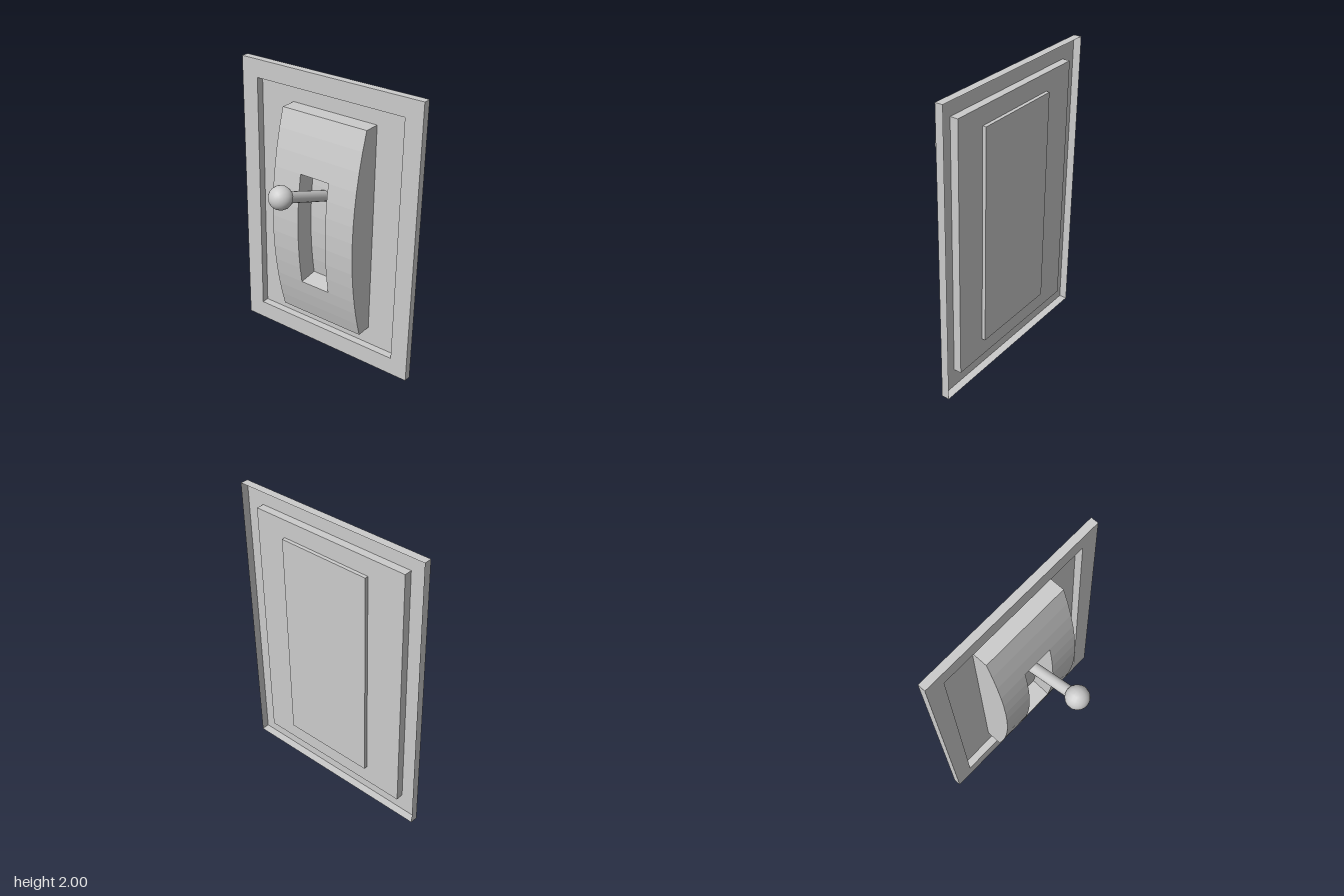
import * as THREE from 'three';

const open = new THREE.MeshStandardMaterial({ color: 0xcccccc, side: THREE.DoubleSide, flatShading: true });
const smooth = new THREE.MeshStandardMaterial({ color: 0xcccccc });
const V = (x, y, z) => new THREE.Vector3(x, y, z);

// Quad strip between two polylines of equal length
function loft(name, a, b) {
  const pts = [];
  for (let i = 0; i < a.length - 1; i++) pts.push(a[i], b[i], b[i + 1], a[i], b[i + 1], a[i + 1]);
  const geo = new THREE.BufferGeometry().setFromPoints(pts);
  geo.computeVertexNormals();
  const mesh = new THREE.Mesh(geo, open);
  mesh.name = name;
  return mesh;
}

// Closed rectangular loop at depth z
const loop = (x, y0, y1, z) => [V(-x, y0, z), V(x, y0, z), V(x, y1, z), V(-x, y1, z), V(-x, y0, z)];

function range(from, to, n) {
  return Array.from({ length: n + 1 }, (_, i) => from + ((to - from) * i) / n);
}

// Wall plate: open-backed rim with a recessed pan
function wallPlate() {
  const g = new THREE.Group();
  g.name = 'wallPlate';
  const front = -0.24, back = -0.293;
  const outer = z => loop(0.69, 0, 2, z), inner = z => loop(0.565, 0.13, 1.876, z);
  const pan = inner(back);
  g.add(
    loft('frameFace', outer(front), inner(front)),
    loft('frameRim', outer(back), outer(front)),
    loft('recessWalls', inner(front), inner(back)),
    loft('recessFloor', [pan[0], pan[3]], [pan[1], pan[2]])
  );
  return g;
}

// Bowed housing with a slot that follows the curve
function housing() {
  const g = new THREE.Group();
  g.name = 'housing';
  const x0 = -0.306, x1 = 0.341, s0 = -0.094, s1 = 0.127;
  const yLow = 0.26, yHigh = 1.755, slotLow = 0.556, slotHigh = 1.373, back = -0.317, depth = 0.14;
  const mid = (yLow + yHigh) / 2, half = (yHigh - yLow) / 2;
  const bow = y => -0.065 - 0.117 * ((y - mid) / half) ** 2;
  const line = (x, ys, sink = 0) => ys.map(y => V(x, y, bow(y) - sink));

  const low = range(yLow, slotLow, 3), centre = range(slotLow, slotHigh, 7), high = range(slotHigh, yHigh, 3);
  const all = [...low, ...centre.slice(1), ...high.slice(1)];
  const floor = range(0.572, slotHigh, 7);

  // Curved front around the slot
  g.add(
    loft('frontRight', line(x0, all), line(s0, all)),
    loft('frontLeft', line(s1, all), line(x1, all)),
    loft('frontBelowSlot', line(s0, low), line(s1, low)),
    loft('frontAboveSlot', line(s0, high), line(s1, high))
  );

  // Slot floor, sides and ends
  g.add(
    loft('slotFloor', line(s0, floor, depth), line(s1, floor, depth)),
    loft('slotSideRight', line(s0, centre), line(s0, floor, depth)),
    loft('slotSideLeft', line(s1, floor, depth), line(s1, centre))
  );
  for (const [name, i] of [['slotBottom', 0], ['slotTop', 7]]) {
    const end = x => [line(x, centre)[i], line(x, floor, depth)[i]];
    g.add(i ? loft(name, end(s0), end(s1)) : loft(name, end(s1), end(s0)));
  }

  // Sides, ends and back
  const flat = x => all.map(y => V(x, y, back));
  g.add(
    loft('sideRight', flat(x0), line(x0, all)),
    loft('sideLeft', line(x1, all), flat(x1)),
    loft('bottomEnd', [V(x0, yLow, back), V(x0, yLow, bow(yLow))], [V(x1, yLow, back), V(x1, yLow, bow(yLow))]),
    loft('topEnd', [V(x1, yHigh, back), V(x1, yHigh, bow(yHigh))], [V(x0, yHigh, back), V(x0, yHigh, bow(yHigh))]),
    loft('back', [V(x1, yLow, back), V(x1, yHigh, back)], [V(x0, yLow, back), V(x0, yHigh, back)])
  );
  return g;
}

// Lever rod with a ball knob
function lever() {
  const g = new THREE.Group();
  g.name = 'lever';
  const tip = V(0.012, 1.37, 0.238), root = V(0.012, 1.2, -0.225);
  const dir = tip.clone().sub(root);
  const rod = new THREE.Mesh(new THREE.CylinderGeometry(0.037, 0.037, dir.length(), 16), smooth);
  rod.name = 'rod';
  rod.position.copy(tip).add(root).multiplyScalar(0.5);
  rod.quaternion.setFromUnitVectors(V(0, 1, 0), dir.normalize());
  const knob = new THREE.Mesh(new THREE.SphereGeometry(0.078, 16, 12), smooth);
  knob.name = 'knob';
  knob.position.copy(tip);
  knob.quaternion.copy(rod.quaternion);
  g.add(rod, knob);
  return g;
}

export function createModel() {
  const model = new THREE.Group();
  model.name = 'leverSwitch';
  model.add(wallPlate(), housing(), lever());
  return model;
}
